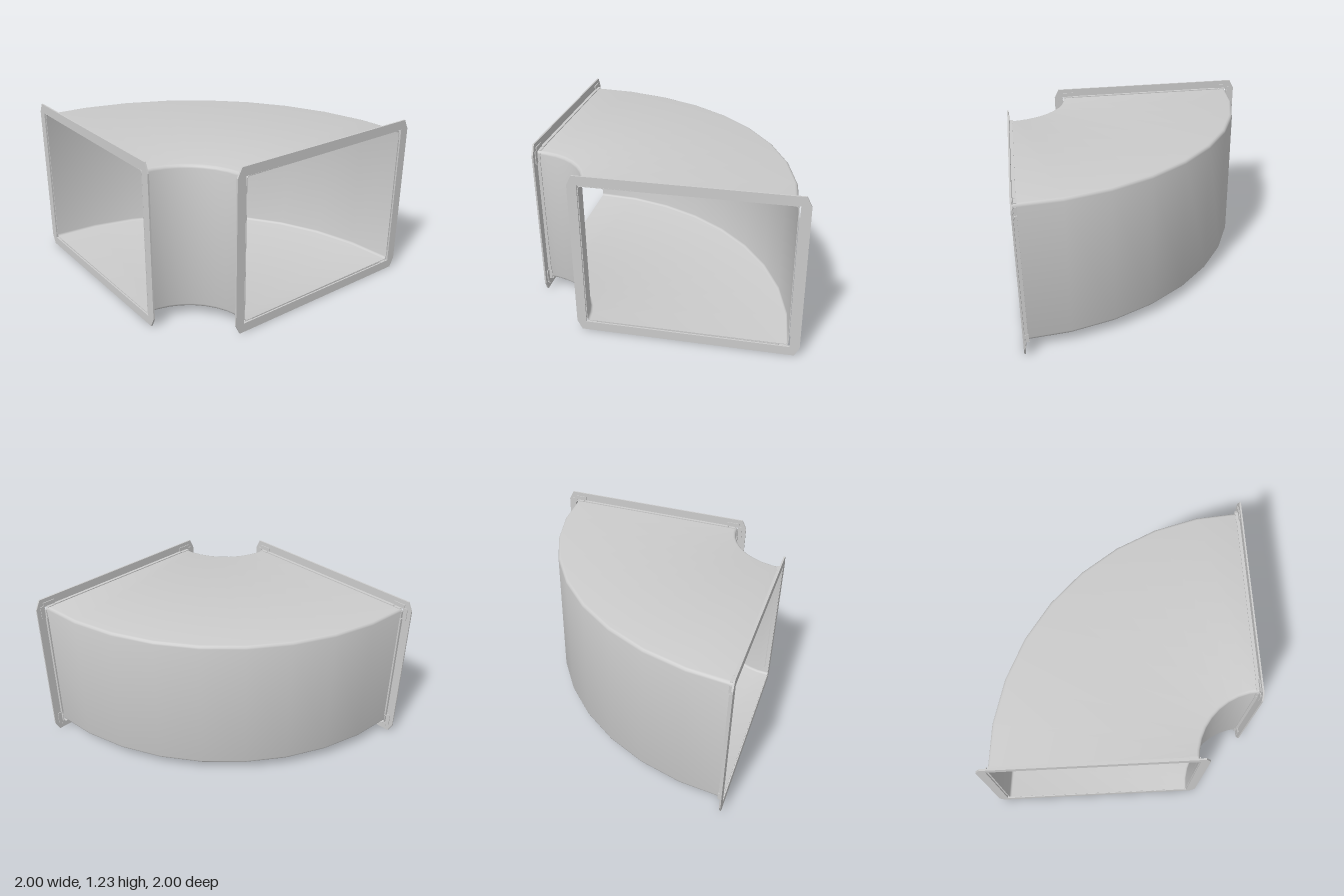
import * as THREE from 'three';
import { toCreasedNormals } from 'three/addons/utils/BufferGeometryUtils.js';

const material = new THREE.MeshStandardMaterial({ color: 0xcccccc, side: THREE.DoubleSide });
const R_IN = 0.478, R_OUT = 1.922;     // bend radii about the vertical axis at (1, 1)
const Y_LOW = 0.08, Y_HIGH = 1.16;
const MID_Y = 0.615, MID = -0.2025;    // centre of each mouth

// Rounded rectangle as [radius from bend axis, height] points, inset by d
function section(d, r) {
  const x0 = R_IN + d, x1 = R_OUT - d, y0 = Y_LOW + d, y1 = Y_HIGH - d;
  const corners = [[x1 - r, y1 - r], [x0 + r, y1 - r], [x0 + r, y0 + r], [x1 - r, y0 + r]];
  const points = [];
  corners.forEach(([cx, cy], i) => {
    for (let k = 0; k <= 3; k++) {
      const a = (i + k / 3) * Math.PI / 2;
      points.push([cx + r * Math.cos(a), cy + r * Math.sin(a)]);
    }
  });
  return points;
}

// Thin-walled quarter bend: outer skin, inner skin and the two end rims
function ductGeometry() {
  const outer = section(0, 0.024), inner = section(0.005, 0.019);
  const n = outer.length, steps = 9, pos = [], idx = [];
  for (const loop of [outer, inner]) {
    for (let s = 0; s <= steps; s++) {
      const a = THREE.MathUtils.lerp(0.004, Math.PI / 2 - 0.004, s / steps);
      for (const [r, y] of loop) pos.push(1 - r * Math.cos(a), y, 1 - r * Math.sin(a));
    }
  }
  const at = (skin, s, i) => (skin * (steps + 1) + s) * n + (i % n);
  const quad = (a, b, c, d) => idx.push(a, b, c, a, c, d);
  for (let i = 0; i < n; i++) {
    for (let s = 0; s < steps; s++) {
      quad(at(0, s, i), at(0, s + 1, i), at(0, s + 1, i + 1), at(0, s, i + 1));
      quad(at(1, s, i), at(1, s, i + 1), at(1, s + 1, i + 1), at(1, s + 1, i));
    }
    quad(at(0, 0, i), at(0, 0, i + 1), at(1, 0, i + 1), at(1, 0, i));
    quad(at(0, steps, i), at(1, steps, i), at(1, steps, i + 1), at(0, steps, i + 1));
  }
  const g = new THREE.BufferGeometry();
  g.setAttribute('position', new THREE.Float32BufferAttribute(pos, 3));
  g.setIndex(idx);
  return toCreasedNormals(g, 0.8);
}

function addBox(parent, name, size, position) {
  const mesh = new THREE.Mesh(new THREE.BoxGeometry(...size), material);
  mesh.name = name;
  mesh.position.set(...position);
  parent.add(mesh);
}

// Connecting frame, mouth facing local +z with its face at z = 0
function makeFlange(name) {
  const flange = new THREE.Group();
  flange.name = name;
  const W = 0.7975, H = 0.615, w = 0.729, h = 0.547, cx = 0.035, cy = 0.07;

  // Face plate with clipped corners
  const shape = new THREE.Shape([
    [W, H - cy], [W - cx, H], [cx - W, H], [-W, H - cy],
    [-W, cy - H], [cx - W, -H], [W - cx, -H], [W, cy - H],
  ].map(p => new THREE.Vector2(...p)));
  shape.holes.push(new THREE.Path([[-w, -h], [-w, h], [w, h], [w, -h]].map(p => new THREE.Vector2(...p))));
  const plate = new THREE.Mesh(new THREE.ExtrudeGeometry(shape, { depth: 0.012, bevelEnabled: false }), material);
  plate.name = 'flangePlate';
  plate.position.z = -0.012;
  flange.add(plate);

  for (const s of [-1, 1]) {
    // Legs folded back against the duct wall
    addBox(flange, 'flangeLeg', [1.3, 0.012, 0.024], [0, s * (h - 0.001), -0.023]);
    addBox(flange, 'flangeLeg', [0.012, 0.93, 0.024], [s * (w - 0.001), 0, -0.023]);
    for (const t of [-1, 1]) {
      // Corner brackets with a short foot along each wall
      addBox(flange, 'cornerFoot', [0.06, 0.005, 0.03], [s * (w - 0.045), t * (h + 0.002), -0.025]);
      addBox(flange, 'cornerFoot', [0.005, 0.06, 0.03], [s * (w + 0.002), t * (h - 0.045), -0.025]);
      addBox(flange, 'cornerBracket', [0.1, 0.035, 0.006], [s * (w - 0.04), t * (h + 0.019), -0.015]);
      addBox(flange, 'cornerBracket', [0.035, 0.1, 0.006], [s * (w + 0.019), t * (h - 0.04), -0.015]);
    }
  }
  return flange;
}

export function createModel() {
  const model = new THREE.Group();
  model.name = 'ductElbow';

  const duct = new THREE.Mesh(ductGeometry(), material);
  duct.name = 'ductBend';
  model.add(duct);

  const front = makeFlange('frontFlange');
  front.position.set(MID, MID_Y, 1);
  const side = makeFlange('sideFlange');
  side.position.set(1, MID_Y, MID);
  side.rotation.y = Math.PI / 2;
  model.add(front, side);
  return model;
}
